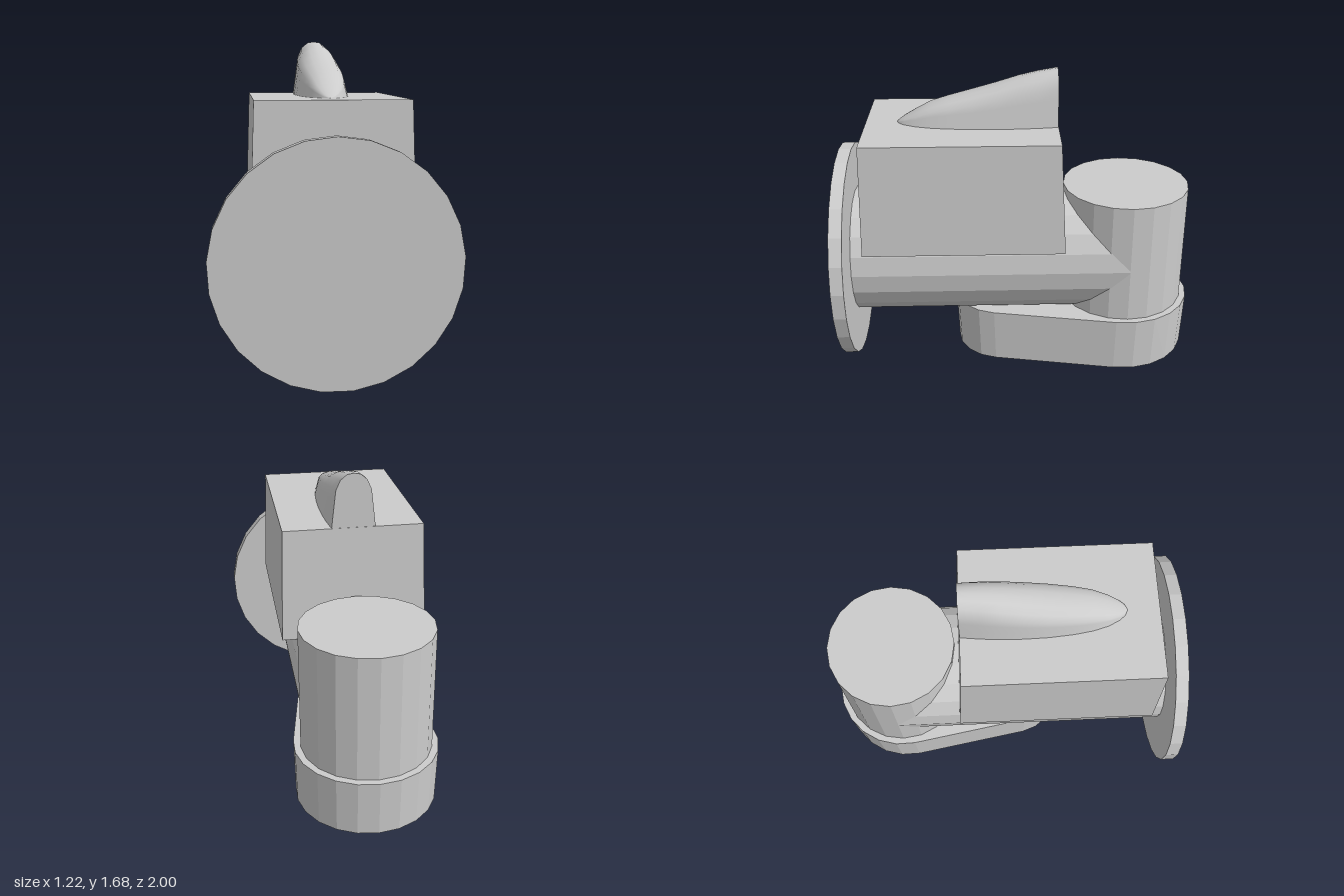
import * as THREE from 'three';

const flat = new THREE.MeshStandardMaterial({ color: 0xcccccc, flatShading: true });
const smooth = new THREE.MeshStandardMaterial({ color: 0xcccccc, side: THREE.DoubleSide });

const AXIS_Y = 0.62;   // height of the horizontal pipe axis
const ELBOW_Z = -0.606; // depth of the vertical pipe axis

function part(name, geometry, material = flat) {
  const mesh = new THREE.Mesh(geometry, material);
  mesh.name = name;
  return mesh;
}

// Cylinder lying along z between two depths
function zCylinder(radius, z0, z1, sides) {
  return new THREE.CylinderGeometry(radius, radius, z1 - z0, sides)
    .rotateX(-Math.PI / 2)
    .translate(0, AXIS_Y, (z0 + z1) / 2);
}

// Foot: two unequal arcs joined by tangents, slightly narrower at the bottom
function footGeometry() {
  const rearR = 0.392, frontR = 0.27, frontZ = 0.105, height = 0.315;
  const tilt = Math.asin((rearR - frontR) / (frontZ - ELBOW_Z));
  const points = [];
  const arc = (r, z, from, to, steps) => {
    for (let i = 0; i <= steps; i++) {
      const a = from + ((to - from) * i) / steps;
      points.push(new THREE.Vector2(r * Math.cos(a), -z + r * Math.sin(a)));
    }
  };
  arc(rearR, ELBOW_Z, -tilt, Math.PI + tilt, 12);
  arc(frontR, frontZ, Math.PI + tilt, 2 * Math.PI - tilt, 8);
  const geo = new THREE.ExtrudeGeometry(new THREE.Shape(points), { depth: height, bevelEnabled: false });
  geo.rotateX(-Math.PI / 2);
  const pos = geo.attributes.position, midZ = -0.31;
  for (let i = 0; i < pos.count; i++) {
    if (pos.getY(i) > 0.01) continue;
    pos.setX(i, pos.getX(i) * 0.98);
    pos.setZ(i, midZ + (pos.getZ(i) - midZ) * 0.983);
  }
  return geo;
}

// Housing: box that draws in towards the top
function housingGeometry() {
  const geo = new THREE.BoxGeometry(2, 1, 2);
  const pos = geo.attributes.position;
  for (let i = 0; i < pos.count; i++) {
    const top = pos.getY(i) > 0, front = pos.getZ(i) > 0;
    pos.setXYZ(i,
      Math.sign(pos.getX(i)) * (top ? 0.38 : 0.4),
      top ? 1.39 : 0.77,
      front ? (top ? 0.835 : 0.855) : (top ? -0.21 : -0.24));
  }
  return geo;
}

// Fin stations: depth, half width at the base, height above the housing
const finStations = [
  [-0.208, 0.118, 0.295], [-0.1, 0.13, 0.275], [0, 0.137, 0.25], [0.12, 0.14, 0.212],
  [0.25, 0.137, 0.175], [0.38, 0.126, 0.14], [0.48, 0.11, 0.11], [0.56, 0.087, 0.068],
  [0.62, 0.057, 0.034], [0.65, 0.032, 0.014], [0.665, 0.002, 0.001],
];
const halfSection = [[1, 0], [0.93, 0.25], [0.86, 0.5], [0.8, 0.7], [0.6, 0.88], [0.3, 0.98]];
const finSection = [...halfSection, [0, 1], ...halfSection.map(([x, y]) => [-x, y]).reverse()];

function finGeometry() {
  const n = finSection.length, positions = [], index = [];
  for (const [z, w, h] of finStations)
    for (const [x, y] of finSection) positions.push(x * w, 1.39 + y * h, z);
  for (let s = 0; s < finStations.length - 1; s++)
    for (let i = 0; i < n - 1; i++) {
      const a = s * n + i, b = a + 1, c = a + n, d = c + 1;
      index.push(a, b, c, b, d, c);
    }
  const geo = new THREE.BufferGeometry();
  geo.setAttribute('position', new THREE.Float32BufferAttribute(positions, 3));
  geo.setIndex(index);
  geo.computeVertexNormals();
  return geo;
}

// Flat rear face of the fin, facing -z
function finBackGeometry() {
  const [z, w, h] = finStations[0];
  const shape = new THREE.Shape(finSection.map(([x, y]) => new THREE.Vector2(-x * w, y * h)));
  return new THREE.ShapeGeometry(shape).rotateY(Math.PI).translate(0, 1.39, z);
}

export function createModel() {
  const model = new THREE.Group();
  model.name = 'pipeFitting';

  // Pipework
  model.add(part('flange', zCylinder(0.61, 0.93, 1, 25)));
  model.add(part('horizontalPipe', zCylinder(0.356, ELBOW_Z, 0.94, 20)));
  const riser = new THREE.CylinderGeometry(0.355, 0.355, 0.71, 20).translate(0, 0.655, ELBOW_Z);
  model.add(part('verticalPipe', riser));
  model.add(part('foot', footGeometry()));

  // Housing with its fin
  model.add(part('housing', housingGeometry()));
  const fin = new THREE.Group();
  fin.name = 'fin';
  fin.add(part('finShell', finGeometry(), smooth), part('finBack', finBackGeometry()));
  model.add(fin);

  return model;
}
